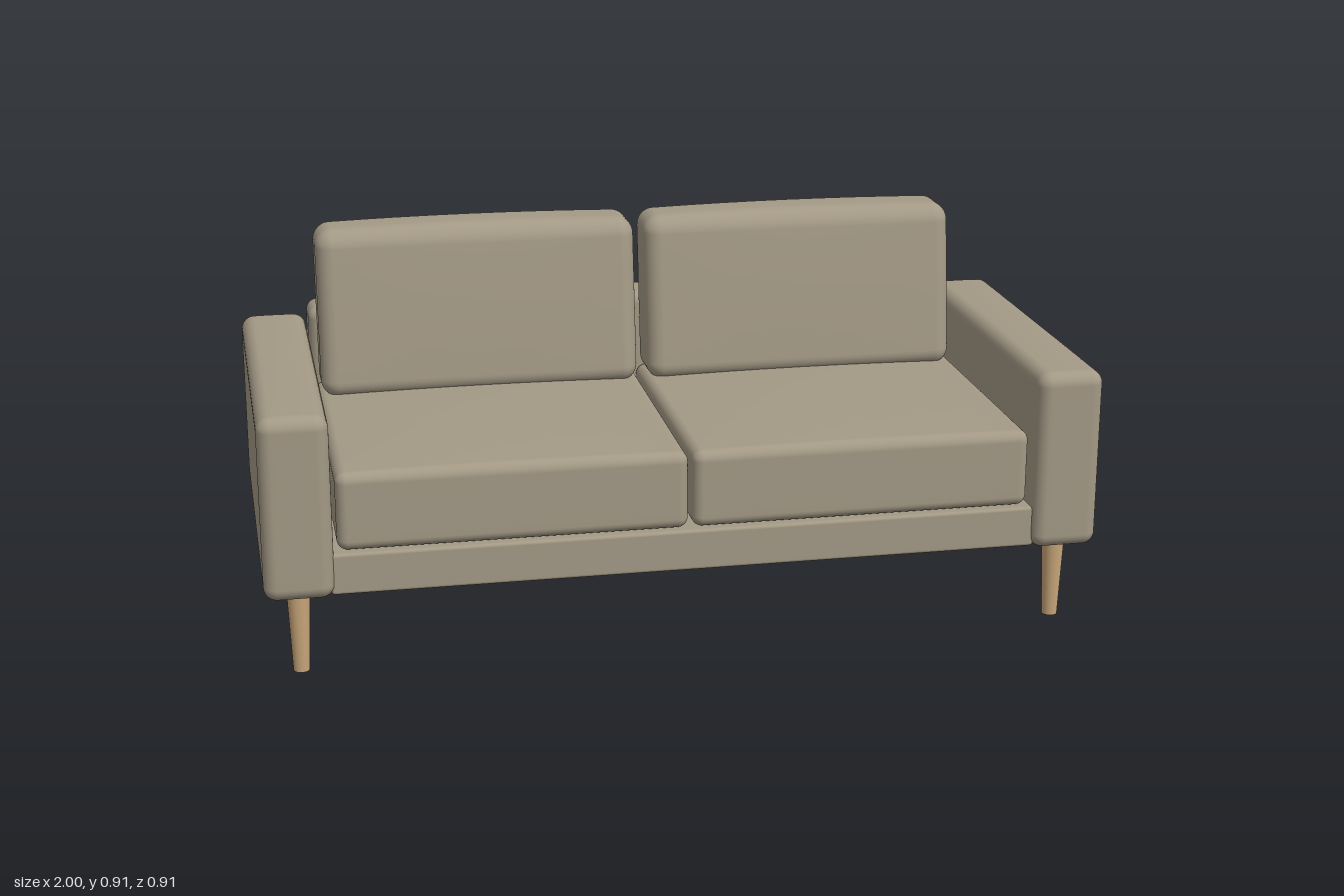
import * as THREE from 'three';
import { mergeVertices } from 'three/addons/utils/BufferGeometryUtils.js';

const ROUND = 5, FLAT = 8, SEGS = ROUND * 2 + FLAT;

// Grid coordinate along one axis: fine steps in the rounded rims, even steps between
function gridPoint(i, half, r) {
  const inner = half - r;
  if (i < ROUND) return -inner - r * Math.tan(((ROUND - i) / ROUND) * Math.PI / 4);
  if (i > ROUND + FLAT) return inner + r * Math.tan(((i - ROUND - FLAT) / ROUND) * Math.PI / 4);
  return -inner + (2 * inner * (i - ROUND)) / FLAT;
}

// Upholstered box: rounded edges, crowned top, puffed front and back, optional lean
function softBox(w, h, d, r, { crown = 0, puff = 0, lean = 0 } = {}) {
  let geo = new THREE.BoxGeometry(2, 2, 2, SEGS, SEGS, SEGS);
  geo.deleteAttribute('uv');
  geo.deleteAttribute('normal');
  geo = mergeVertices(geo, 1e-4);
  const pos = geo.attributes.position;
  const half = new THREE.Vector3(w / 2, h / 2, d / 2);
  const limit = half.clone().subScalar(r);
  const p = new THREE.Vector3(), core = new THREE.Vector3();
  for (let i = 0; i < pos.count; i++) {
    p.fromBufferAttribute(pos, i);
    for (const a of ['x', 'y', 'z']) p[a] = gridPoint(Math.round((p[a] + 1) / 2 * SEGS), half[a], r);
    core.copy(p).clamp(limit.clone().negate(), limit);
    p.sub(core).setLength(r).add(core);
    const u = 1 - (p.x / half.x) ** 2, v = 1 - (p.y / half.y) ** 2, t = 1 - (p.z / half.z) ** 2;
    const dy = p.y > 0 ? crown * u * Math.sqrt(Math.max(t, 0)) * (p.y / half.y) : 0;
    const dz = puff * u * v * (p.z / half.z);
    pos.setXYZ(i, p.x, p.y + dy, p.z + dz - lean * p.y);
  }
  geo.computeVertexNormals();
  return geo;
}

export function createModel() {
  const sofa = new THREE.Group();
  sofa.name = 'sofa';
  const fabric = new THREE.MeshStandardMaterial({ color: 0xa39985 });
  fabric.name = 'taupe fabric';
  const wood = new THREE.MeshStandardMaterial({ color: 0xc8a67a });
  wood.name = 'light wood';

  const add = (name, geo, mat, x, y, z) => {
    const mesh = new THREE.Mesh(geo, mat);
    mesh.name = name;
    mesh.position.set(x, y, z);
    sofa.add(mesh);
  };

  // Frame
  add('base', softBox(1.69, 0.1, 0.87, 0.008), fabric, 0, 0.255, 0);
  add('backrest', softBox(1.67, 0.385, 0.13, 0.03), fabric, 0, 0.4925, -0.381);

  // Shared shapes for the mirrored parts
  const arm = softBox(0.163, 0.44, 0.914, 0.032, { crown: 0.005 });
  const seat = softBox(0.823, 0.188, 0.755, 0.025, { crown: 0.01 });
  const cushion = softBox(0.803, 0.415, 0.155, 0.042, { crown: 0.008, puff: 0.004, lean: 0.135 });
  const leg = new THREE.CylinderGeometry(0.028, 0.019, 0.21, 24);

  for (const [side, s] of [['left', 1], ['right', -1]]) {
    add(side + 'Arm', arm, fabric, s * 0.9185, 0.422, 0);
    add(side + 'SeatCushion', seat, fabric, s * 0.416, 0.401, 0.053);
    add(side + 'BackCushion', cushion, fabric, s * 0.414, 0.695, -0.269);
    add(side + 'FrontLeg', leg, wood, s * 0.919, 0.105, 0.371);
    add(side + 'BackLeg', leg, wood, s * 0.919, 0.105, -0.371);
  }
  return sofa;
}
